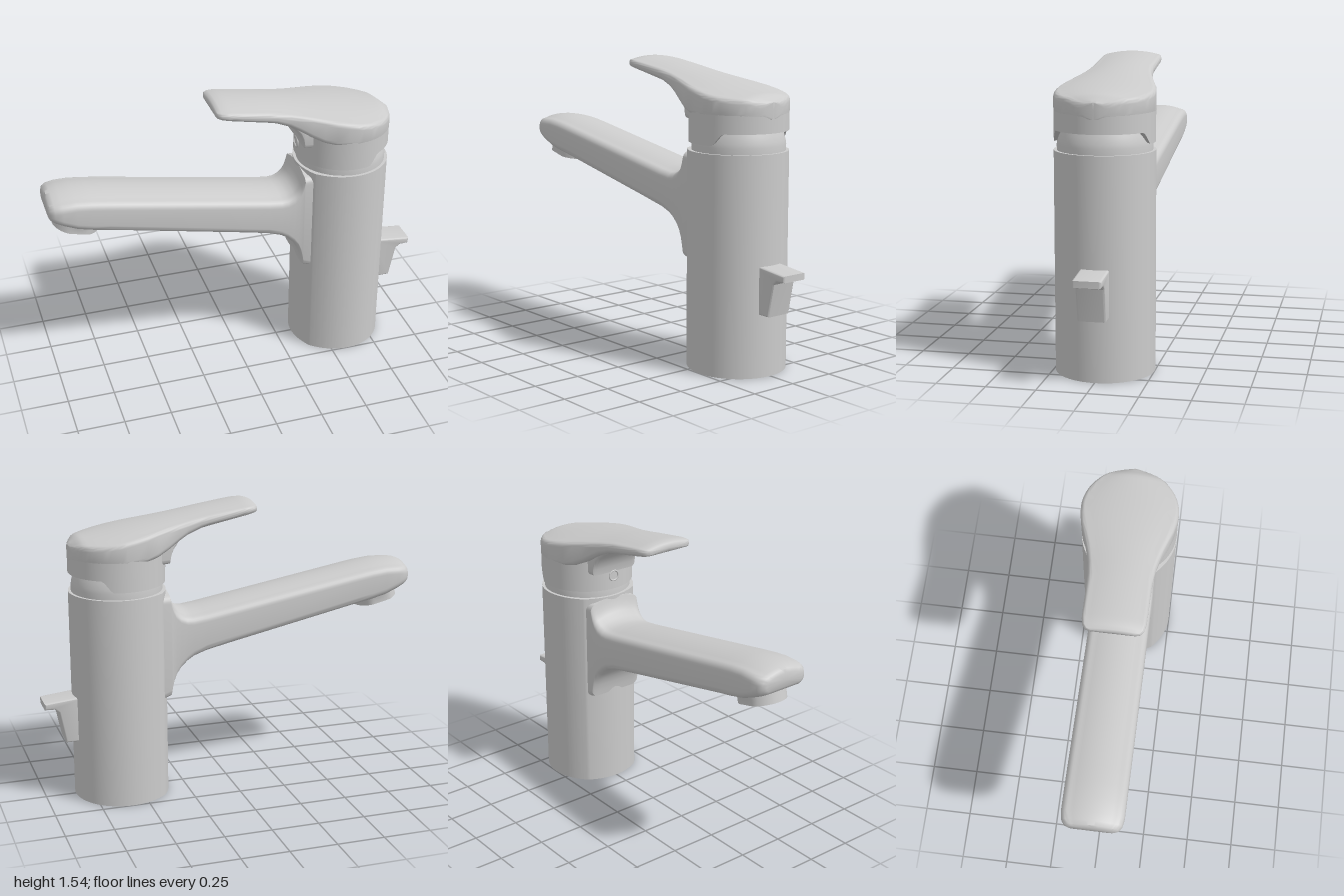
import * as THREE from 'three';
import { toCreasedNormals } from 'three/addons/utils/BufferGeometryUtils.js';

const AXIS = 0.59; // x of the body's vertical axis
const R = 0.25;
const material = new THREE.MeshStandardMaterial({ color: 0xcccccc, side: THREE.DoubleSide });

function add(group, name, geometry) {
  const mesh = new THREE.Mesh(geometry, material);
  mesh.name = name;
  group.add(mesh);
  return mesh;
}

// Rounded section with a crowned top and an optional hollow below, as [z, y] pairs
function section(w, top, bottom, radius, crownRate, hollow) {
  const crown = Math.min(w * crownRate, (top - bottom) * 0.3);
  const r = Math.min(radius, w * 0.5, (top - crown - bottom) * 0.45);
  const half = [];
  for (let i = 0; i <= 6; i++) half.push([(w - r) * i / 6, top - crown * (i / 6) ** 2]);
  for (let i = 1; i <= 6; i++) {
    const a = i / 6 * Math.PI / 2;
    half.push([w - r + r * Math.sin(a), top - crown - r + r * Math.cos(a)]);
  }
  for (let i = 0; i <= 6; i++) {
    const a = i / 6 * Math.PI / 2;
    half.push([w - r + r * Math.cos(a), bottom + r - r * Math.sin(a)]);
  }
  for (const f of [0.85, 0.7, 0.35, 0]) half.push([(w - r) * f, bottom + (f < 0.8 ? hollow : 0)]);
  const mirrored = half.slice(1, -1).reverse().map(([z, y]) => [-z, y]);
  return half.concat(mirrored);
}

// Skin through stations [x, halfWidth, top, bottom, hollow]
function loft(stations, radius, crownRate) {
  const pos = [], index = [];
  let n = 0;
  stations.forEach(([x, w, top, bottom, hollow = 0]) => {
    const loop = section(w, top, bottom, radius, crownRate, hollow);
    n = loop.length;
    loop.forEach(([z, y]) => pos.push(x, y, z));
  });
  const last = stations.length - 1;
  for (let i = 0; i < last; i++) {
    for (let j = 0; j < n; j++) {
      const a = i * n + j, b = i * n + (j + 1) % n;
      index.push(a, b, a + n, b, b + n, a + n);
    }
  }
  // End caps
  [0, last].forEach((s) => {
    const [x, , top, bottom] = stations[s];
    const c = pos.length / 3;
    pos.push(x, (top + bottom) / 2, 0);
    for (let j = 0; j < n; j++) {
      const a = s * n + j, b = s * n + (j + 1) % n;
      if (s === 0) index.push(c, b, a); else index.push(c, a, b);
    }
  });
  const g = new THREE.BufferGeometry();
  g.setAttribute('position', new THREE.Float32BufferAttribute(pos, 3));
  g.setIndex(index);
  return toCreasedNormals(g, 0.8);
}

export function createModel() {
  const group = new THREE.Group();

  // Body: round at the back, with a soft-edged face towards the spout
  const plan = new THREE.Shape();
  plan.moveTo(-0.2, -0.165);
  plan.quadraticCurveTo(-0.11, -R, 0, -R);
  plan.absarc(0, 0, R, -Math.PI / 2, Math.PI / 2, false);
  plan.quadraticCurveTo(-0.11, R, -0.2, 0.165);
  plan.quadraticCurveTo(-0.3, 0, -0.2, -0.165);
  const body = new THREE.ExtrudeGeometry(plan, { depth: 1.11, bevelEnabled: false, curveSegments: 32 });
  body.rotateX(-Math.PI / 2).translate(AXIS, 0, 0);
  add(group, 'body', toCreasedNormals(body, 0.3));

  // Spout with fillets flowing into the body
  add(group, 'spout', loft([
    [-1, 0.115, 1.13, 1.06],
    [-0.992, 0.135, 1.148, 1.045],
    [-0.97, 0.15, 1.156, 1.033],
    [-0.93, 0.157, 1.161, 1.015],
    [-0.86, 0.157, 1.162, 0.985],
    [-0.78, 0.157, 1.153, 0.965],
    [-0.7, 0.157, 1.14, 0.95],
    [0, 0.157, 1.018, 0.803],
    [0.15, 0.157, 0.992, 0.77],
    [0.22, 0.157, 0.983, 0.745],
    [0.255, 0.157, 0.985, 0.722],
    [0.29, 0.157, 1.0, 0.688],
    [0.315, 0.157, 1.025, 0.65],
    [0.33, 0.157, 1.055, 0.61],
    [0.339, 0.157, 1.085, 0.57],
    [0.344, 0.157, 1.105, 0.54],
    [0.45, 0.157, 1.105, 0.5],
  ], 0.04, 0.13));

  // Aerator under the tip, flattened on both sides for a wrench
  const aerator = new THREE.CylinderGeometry(0.122, 0.12, 0.12, 48, 4);
  const ap = aerator.attributes.position;
  for (let i = 0; i < ap.count; i++) {
    if (ap.getY(i) < -0.01) ap.setZ(i, THREE.MathUtils.clamp(ap.getZ(i), -0.108, 0.108));
  }
  aerator.rotateZ(-0.24).translate(-0.84, 0.998, 0);
  add(group, 'aerator', toCreasedNormals(aerator, 0.5));

  // Domed cartridge cover between body and handle
  const dome = [[0, 1.1], [0.235, 1.1], [0.235, 1.14], [0.232, 1.16], [0.224, 1.19], [0.212, 1.22], [0, 1.22]]
    .map(([x, y]) => new THREE.Vector2(x, y));
  const cover = new THREE.LatheGeometry(dome, 64).translate(AXIS, 0, 0);
  add(group, 'cartridgeCover', toCreasedNormals(cover, 0.6));

  // Handle hub: the lower rim steps up towards the back
  const hub = new THREE.CylinderGeometry(0.249, 0.249, 0.18, 128, 1);
  hub.translate(AXIS, 1.24, 0);
  const hp = hub.attributes.position;
  for (let i = 0; i < hp.count; i++) {
    if (hp.getY(i) > 1.2) continue;
    const atCentre = Math.hypot(hp.getX(i) - AXIS, hp.getZ(i)) < 0.01;
    const step = THREE.MathUtils.smoothstep(hp.getX(i), 0.655, 0.72);
    hp.setY(i, atCentre ? 1.21 : 1.15 + 0.06 * step);
  }
  add(group, 'handleHub', hub);

  // Lever: flat grip widening into the round cap over the hub
  const lever = [
    [-0.13, 0.115, 1.525, 1.497],
    [-0.124, 0.135, 1.535, 1.491],
    [-0.105, 0.15, 1.54, 1.486],
    [-0.07, 0.157, 1.539, 1.479],
    [-0.05, 0.158, 1.537, 1.475, 0.022],
    [0, 0.159, 1.53, 1.465, 0.024],
    [0.14, 0.16, 1.51, 1.436, 0.028],
    [0.18, 0.162, 1.503, 1.427],
    [0.25, 0.17, 1.491, 1.4],
    [0.3, 0.18, 1.482, 1.372],
    [0.36, 0.196, 1.472, 1.335],
    [0.42, 0.215, 1.462, 1.305],
    [0.48, 0.234, 1.452, 1.29],
    [0.54, 0.246, 1.442, 1.285],
  ];
  for (let i = 0; i <= 16; i++) {
    const a = i / 16 * 1.55;
    const drop = Math.max(0, Math.sin(a) - 0.8) * 0.13;
    lever.push([AXIS + R * Math.sin(a), R * Math.cos(a), 1.433 - 0.045 * Math.sin(a) - drop, 1.28]);
  }
  add(group, 'lever', loft(lever, 0.028, 0.11));

  // Fillet joining the lever's underside to the hub
  add(group, 'leverFillet', loft([
    [0.18, 0.125, 1.46, 1.428],
    [0.22, 0.13, 1.45, 1.408],
    [0.26, 0.135, 1.44, 1.385],
    [0.295, 0.138, 1.43, 1.355],
    [0.32, 0.14, 1.42, 1.32],
    [0.334, 0.14, 1.41, 1.285],
    [0.34, 0.14, 1.4, 1.25],
    [0.45, 0.14, 1.38, 1.24],
  ], 0.025, 0));

  // Set screw plug on the hub
  const plug = new THREE.TorusGeometry(0.028, 0.005, 8, 32).rotateY(Math.PI / 2);
  add(group, 'setScrewRing', plug.translate(0.341, 1.225, 0));

  // Drain lift knob on the back: a tapered stem under a flat tab
  const knob = new THREE.Shape([
    [0.8, 0.555], [0.99, 0.535], [0.99, 0.52], [0.945, 0.518],
    [0.918, 0.495], [0.885, 0.33], [0.8, 0.33],
  ].map(([x, y]) => new THREE.Vector2(x, y)));
  const knobGeo = new THREE.ExtrudeGeometry(knob, {
    depth: 0.12, bevelThickness: 0.012, bevelSize: 0.01, bevelSegments: 4,
  });
  add(group, 'drainKnob', toCreasedNormals(knobGeo.translate(0, 0, -0.06), 0.6));

  return group;
}
